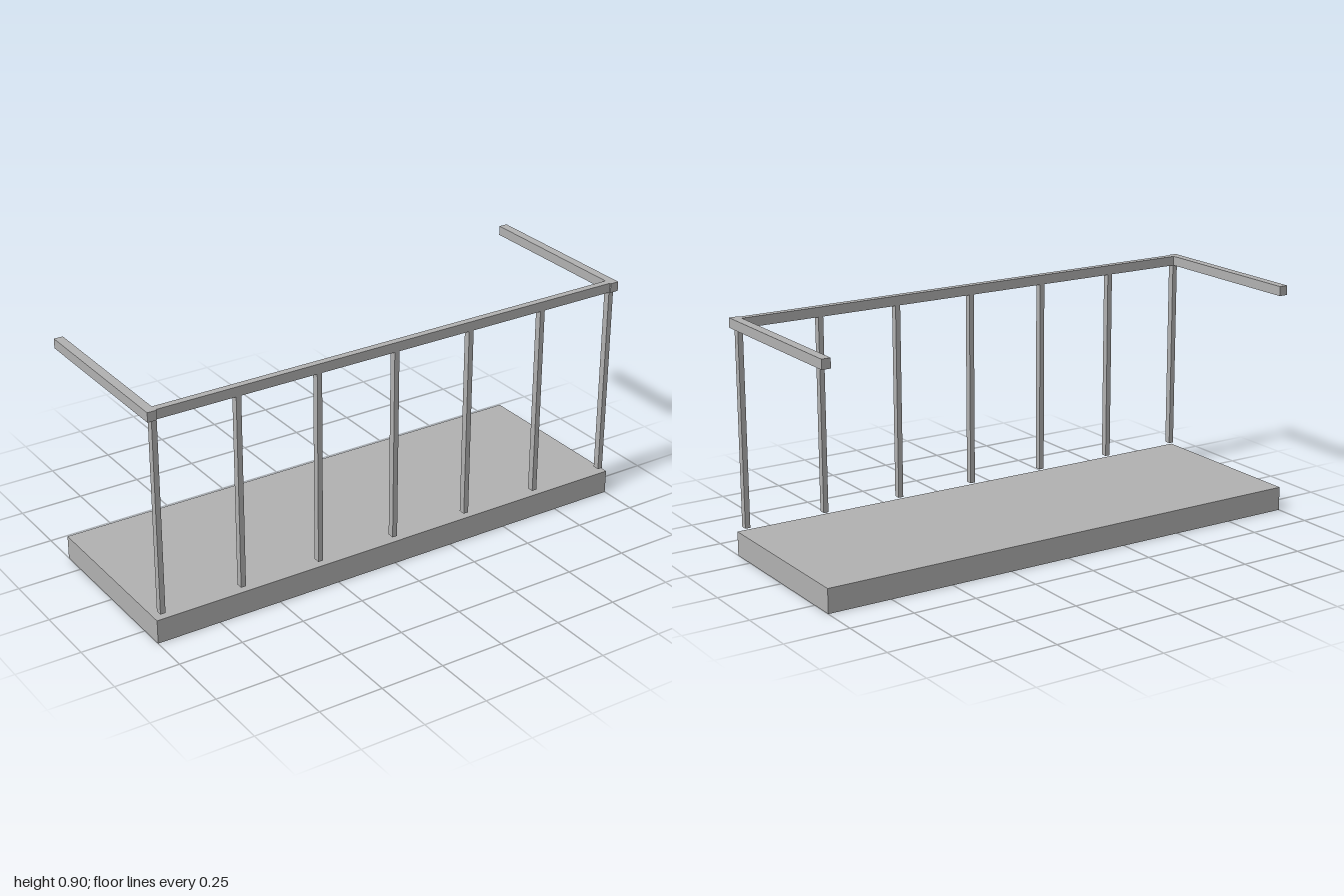
import * as THREE from 'three';

export function createModel() {
  const group = new THREE.Group();
  group.name = 'balcony';
  const grey = new THREE.MeshStandardMaterial({ color: 0xb2b2b2 });
  grey.name = 'plain grey';

  // Axis-aligned box given by its minimum and maximum corners
  const addBox = (name, [x0, y0, z0], [x1, y1, z1]) => {
    const mesh = new THREE.Mesh(new THREE.BoxGeometry(x1 - x0, y1 - y0, z1 - z0), grey);
    mesh.position.set((x0 + x1) / 2, (y0 + y1) / 2, (z0 + z1) / 2);
    mesh.name = name;
    group.add(mesh);
  };

  const halfDepth = 0.347, railBottom = 0.863, railTop = 0.9, railWidth = 0.035;
  const frontInner = 0.314, frontOuter = 0.341;

  // Floor slab
  addBox('floorSlab', [-1, 0, -halfDepth], [1, 0.093, halfDepth]);

  // Handrail: one front rail between two side rails
  addBox('frontRail', [-1 + railWidth, railBottom, frontInner], [1 - railWidth, railTop, frontOuter]);
  addBox('leftRail', [1 - railWidth, railBottom, -halfDepth], [1, railTop, halfDepth]);
  addBox('rightRail', [-1, railBottom, -halfDepth], [-1 + railWidth, railTop, halfDepth]);

  // Seven slim posts hanging from the front rail, just clear of the slab
  const postHalf = 0.01;
  for (let i = -3; i <= 3; i++) {
    const x = i * 0.3242;
    addBox('post' + (i + 4), [x - postHalf, 0.11, frontInner + 0.001], [x + postHalf, railBottom, frontOuter]);
  }
  return group;
}
